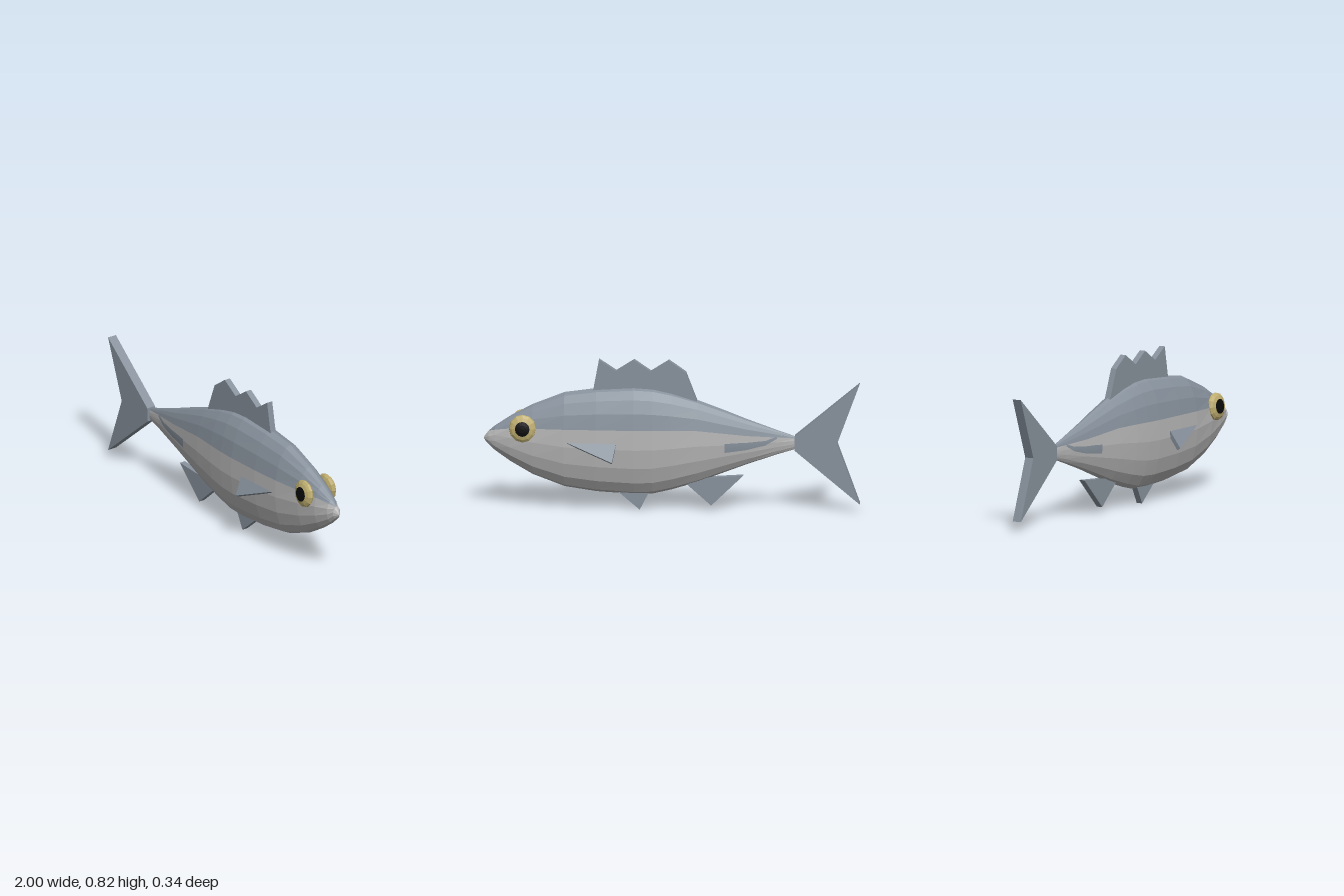
import * as THREE from 'three';

// Body stations: x, top y, bottom y, half width, y of the back/belly colour line
const STATIONS = [
  [-0.655, 0.413, 0.342, 0.012, 0.402],
  [-0.56, 0.445, 0.312, 0.022, 0.408],
  [-0.40, 0.503, 0.256, 0.048, 0.420],
  [-0.28, 0.550, 0.210, 0.067, 0.435],
  [-0.14, 0.602, 0.155, 0.088, 0.452],
  [0.0, 0.645, 0.112, 0.105, 0.455],
  [0.10, 0.667, 0.088, 0.113, 0.455],
  [0.20, 0.673, 0.084, 0.117, 0.455],
  [0.40, 0.660, 0.096, 0.114, 0.455],
  [0.57, 0.636, 0.121, 0.104, 0.453],
  [0.74, 0.568, 0.185, 0.083, 0.450],
  [0.86, 0.502, 0.255, 0.061, 0.444],
  [0.94, 0.448, 0.312, 0.038, 0.430],
  [0.975, 0.418, 0.345, 0.024, 0.418],
  [0.99, 0.398, 0.362, 0.012, 0.398],
  [1.0, 0.382, 0.378, 0.002, 0.382],
];

function stationAt(x) {
  let i = 0;
  while (i < STATIONS.length - 2 && STATIONS[i + 1][0] < x) i++;
  const a = STATIONS[i], b = STATIONS[i + 1];
  const k = (x - a[0]) / (b[0] - a[0]);
  return a.map((v, n) => THREE.MathUtils.lerp(v, b[n], k));
}

// Angle from the top of a station's ellipse at which it reaches height y
function angleAt([, top, bottom], y) {
  const c = (top + bottom) / 2, h = (top - bottom) / 2;
  return Math.acos(THREE.MathUtils.clamp((y - c) / h, -1, 1));
}

// Skin strip over stations; range(station, index) gives start and end angles
function skin(stations, segments, range, offset = 0) {
  const positions = [], index = [];
  stations.forEach((s, i) => {
    const [x, top, bottom, w] = s;
    const [t0, t1] = range(s, i);
    for (let j = 0; j <= segments; j++) {
      const t = t0 + (t1 - t0) * j / segments;
      positions.push(x, (top + bottom) / 2 + Math.cos(t) * ((top - bottom) / 2 + offset),
        Math.sin(t) * (w + offset));
      if (i < stations.length - 1 && j < segments) {
        const a = i * (segments + 1) + j, b = a + segments + 1;
        index.push(a, a + 1, b, b, a + 1, b + 1);
      }
    }
  });
  const g = new THREE.BufferGeometry();
  g.setAttribute('position', new THREE.Float32BufferAttribute(positions, 3));
  g.setIndex(index);
  g.computeVertexNormals();
  return g;
}

// Flat slab fin centred on its own plane
function finGeometry(points, thickness) {
  const shape = new THREE.Shape(points.map(([x, y]) => new THREE.Vector2(x, y)));
  const g = new THREE.ExtrudeGeometry(shape, { depth: thickness, bevelEnabled: false });
  return g.translate(0, 0, -thickness / 2);
}

export function createModel() {
  const model = new THREE.Group();
  model.name = 'fish';
  const material = (name, color) => {
    const m = new THREE.MeshStandardMaterial({ color, flatShading: true });
    m.name = name;
    return m;
  };
  const slate = material('slate blue', 0x87919c);
  const silver = material('silver', 0xb6b6b6);
  const gold = material('gold', 0xbfae70);
  const black = material('black', 0x0a0a0a);

  const add = (name, geometry, mat, parent = model) => {
    const mesh = new THREE.Mesh(geometry, mat);
    mesh.name = name;
    parent.add(mesh);
    return mesh;
  };

  // Body: dark back and silver belly meeting at the colour line
  add('back', skin(STATIONS, 8, s => {
    const t = angleAt(s, s[4]);
    return [-t, t];
  }), slate);
  add('belly', skin(STATIONS, 10, s => {
    const t = angleAt(s, s[4]);
    return [t, 2 * Math.PI - t];
  }), silver);

  // Dark flank marks near the tail: x, upper y, lower y
  const mark = [[-0.56, 0.412, 0.4], [-0.5, 0.392, 0.368], [-0.4, 0.384, 0.345],
    [-0.34, 0.383, 0.338], [-0.285, 0.38, 0.332]];
  const markStations = mark.map(m => stationAt(m[0]));
  for (const side of [1, -1]) {
    add(side > 0 ? 'leftFlankMark' : 'rightFlankMark', skin(markStations, 4, (s, i) => {
      const a = angleAt(s, mark[i][1]), b = angleAt(s, mark[i][2]);
      return side > 0 ? [a, b] : [-b, -a];
    }, 0.003), slate);
  }

  // Fins on the centre line
  add('tailFin', finGeometry([[-0.655, 0.415], [-1, 0.705], [-0.88, 0.378],
    [-1, 0.05], [-0.655, 0.338]], 0.052), slate);
  add('dorsalFin', finGeometry([[-0.14, 0.585], [-0.075, 0.755], [0.015, 0.818], [0.11, 0.757],
    [0.2, 0.818], [0.295, 0.757], [0.387, 0.818], [0.42, 0.64]], 0.034), slate);
  add('analFin', finGeometry([[-0.38, 0.195], [-0.21, 0.03], [-0.08, 0.145],
    [-0.16, 0.18]], 0.034), slate);
  add('ventralFin', finGeometry([[0.12, 0.1], [0.17, 0.002], [0.28, 0.095]], 0.034), slate);

  // Paired side fins and eyes
  const sideFin = finGeometry([[0.55, 0.002], [0.29, 0], [0.31, -0.105]], 0.022);
  const pupilAngle = 0.55;
  const eyeball = new THREE.SphereGeometry(1, 12, 7, 0, Math.PI * 2, pupilAngle, Math.PI - pupilAngle);
  const pupil = new THREE.SphereGeometry(1.03, 12, 2, 0, Math.PI * 2, 0, pupilAngle);
  for (const g of [eyeball, pupil]) g.rotateX(Math.PI / 2).scale(0.073, 0.075, 0.028);

  for (const side of [1, -1]) {
    const label = side > 0 ? 'left' : 'right';
    const fin = add(label + 'SideFin', sideFin, slate);
    fin.position.set(0, 0.378, side * 0.108);
    fin.rotation.x = -side * 0.5;

    const eye = new THREE.Group();
    eye.name = label + 'Eye';
    eye.position.set(0.79, 0.45, side * 0.076);
    eye.rotation.set(-side * 0.08, side > 0 ? 0 : Math.PI, 0);
    add(label + 'Eyeball', eyeball, gold, eye);
    add(label + 'Pupil', pupil, black, eye);
    model.add(eye);
  }
  return model;
}
